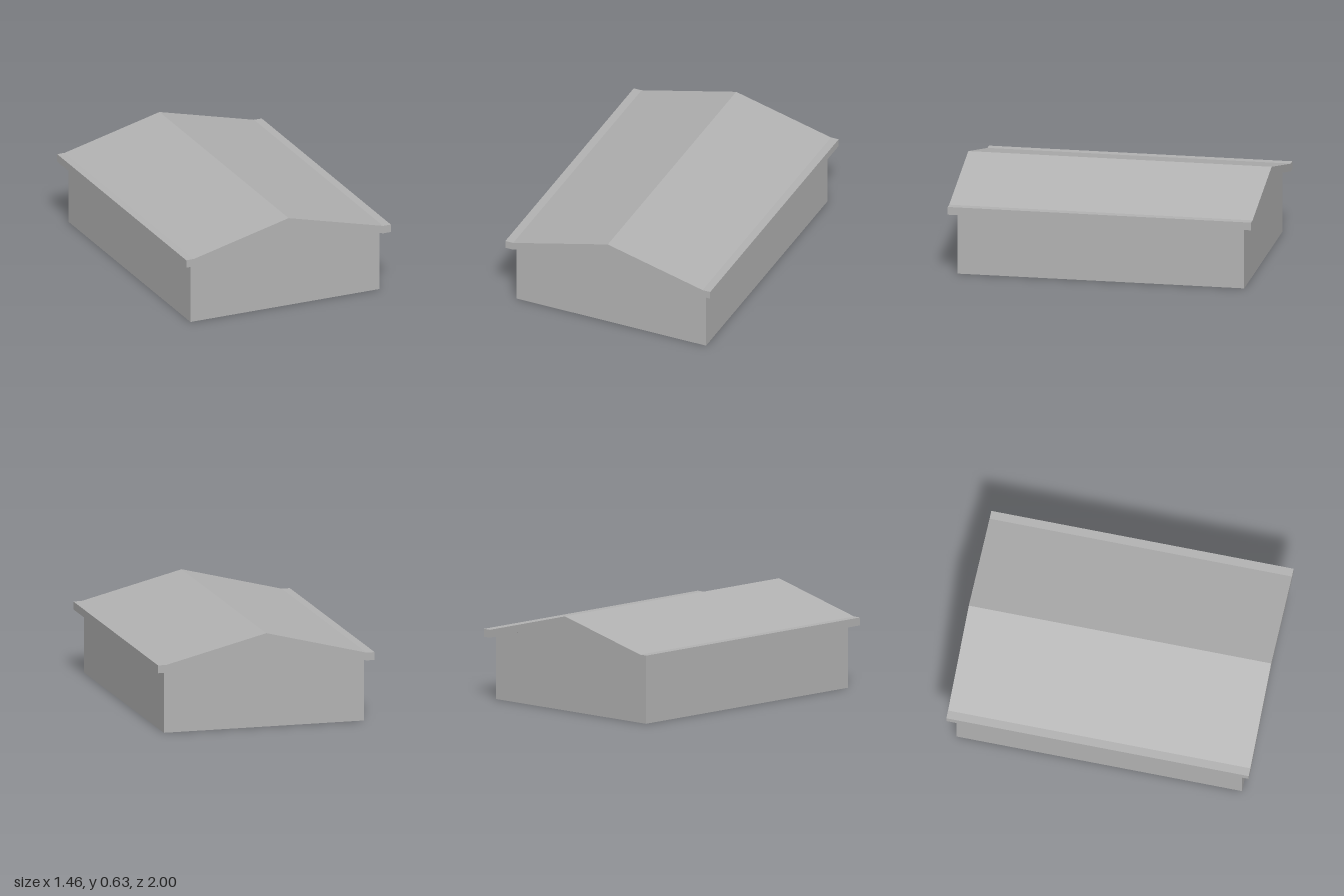
import * as THREE from 'three';

const WALL_X = 0.675, EAVE_X = 0.73, EAVE_Y = 0.41, PEAK_Y = 0.58, ROOF_T = 0.052;

// Extrude an x-y outline along z, centred on z = 0
function prism(name, points, length, material) {
  const shape = new THREE.Shape(points.map(([x, y]) => new THREE.Vector2(x, y)));
  const geometry = new THREE.ExtrudeGeometry(shape, { depth: length, bevelEnabled: false });
  geometry.translate(0, 0, -length / 2);
  const mesh = new THREE.Mesh(geometry, material);
  mesh.name = name;
  return mesh;
}

export function createModel() {
  const group = new THREE.Group();
  group.name = 'gabledBuilding';
  const grey = new THREE.MeshStandardMaterial({ color: 0xb2b2b2 });
  grey.name = 'plain grey';

  // Walls with gable ends
  group.add(prism('walls', [
    [-WALL_X, 0], [WALL_X, 0], [WALL_X, EAVE_Y], [0, PEAK_Y], [-WALL_X, EAVE_Y],
  ], 1.89, grey));

  // Roof slab: pitched over the walls, flat at the eaves, overhanging all round
  const underside = [
    [-EAVE_X, EAVE_Y], [-WALL_X, EAVE_Y], [0, PEAK_Y], [WALL_X, EAVE_Y], [EAVE_X, EAVE_Y],
  ];
  const topside = underside.map(([x, y]) => [x, y + ROOF_T]).reverse();
  group.add(prism('roof', [...underside, ...topside], 2, grey));

  return group;
}
